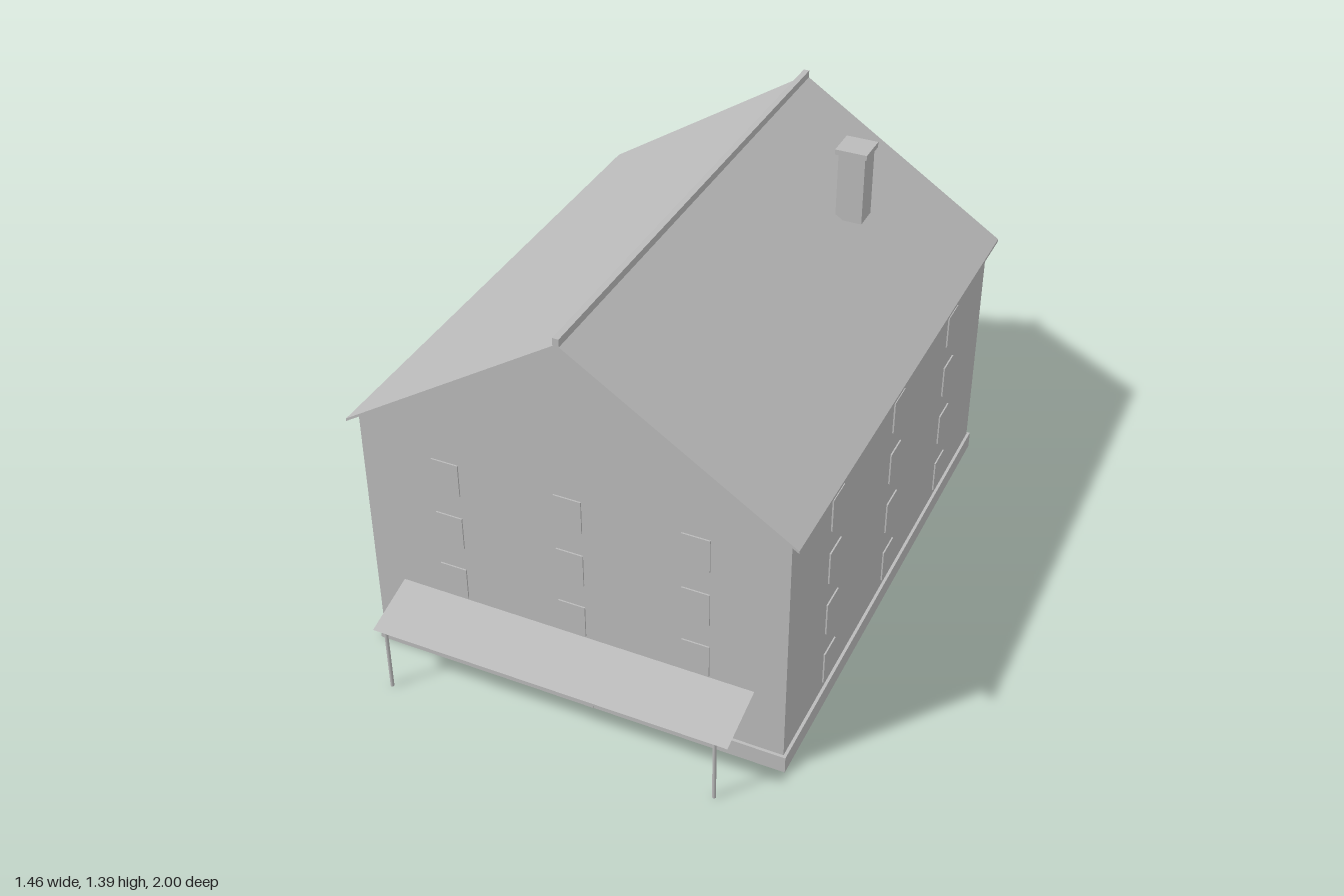
import * as THREE from 'three';

export function createModel() {
  const house = new THREE.Group();
  house.name = 'house';
  const grey = new THREE.MeshStandardMaterial({ color: 0xbababa, side: THREE.DoubleSide });
  grey.name = 'plain grey';

  const add = (name, geometry) => {
    const mesh = new THREE.Mesh(geometry, grey);
    mesh.name = name;
    house.add(mesh);
    return mesh;
  };
  // box given by its limits on each axis
  const box = (name, x0, x1, y0, y1, z0, z1) =>
    add(name, new THREE.BoxGeometry(x1 - x0, y1 - y0, z1 - z0))
      .position.set((x0 + x1) / 2, (y0 + y1) / 2, (z0 + z1) / 2);
  // outline in x and y, extruded from z0 to z1
  const prism = (name, points, z0, z1) => {
    const shape = new THREE.Shape(points.map(([x, y]) => new THREE.Vector2(x, y)));
    const geometry = new THREE.ExtrudeGeometry(shape, { depth: z1 - z0, bevelEnabled: false });
    add(name, geometry.translate(0, 0, z0));
  };

  const front = 0.805, back = -0.97, side = 0.7, midZ = (front + back) / 2;

  // foundation and gabled walls
  box('foundation', -0.71, 0.71, 0, 0.06, -0.98, 0.815);
  prism('walls', [[-side, 0.05], [side, 0.05], [side, 0.885], [0, 1.345], [-side, 0.885]], back, front);

  // roof slopes and ridge
  prism('roof', [[-0.73, 0.875], [0, 1.346], [0.73, 0.875], [0.73, 0.884], [0, 1.356], [-0.73, 0.884]], -1, 0.83);
  box('ridgeCap', -0.01, 0.01, 1.35, 1.375, -1, 0.83);

  // chimney
  box('chimney', 0.315, 0.405, 1.135, 1.372, -0.57, -0.485);
  box('chimneyCap', 0.306, 0.413, 1.372, 1.39, -0.58, -0.475);

  // doors at both ends
  box('frontDoor', -0.065, 0.065, 0, 0.187, 0.79, 0.8155);
  box('backDoor', -0.065, 0.065, 0, 0.187, -0.9805, -0.96);

  // thin window panels, four storeys of three on every wall
  const half = 0.045, out = 0.005;
  for (let row = 0; row < 4; row++) {
    const y0 = 0.085 + row * 0.202, y1 = y0 + 0.116;
    for (const col of [-1, 0, 1]) {
      const x = col * 0.41, z = midZ + col * 0.53;
      if (row > 0 || col !== 0) {
        box('frontWindow', x - half, x + half, y0, y1, front - 0.003, front + out);
        box('backWindow', x - half, x + half, y0, y1, back - out, back + 0.003);
      }
      box('leftWindow', side - 0.003, side + out, y0, y1, z - half, z + half);
      box('rightWindow', -side - out, -side + 0.003, y0, y1, z - half, z + half);
    }
  }

  // sloping awning sheet on two posts
  const drop = 0.055, reach = 1 - front;
  const awning = add('awning', new THREE.PlaneGeometry(1.2, Math.hypot(drop, reach)));
  awning.rotation.x = -Math.PI / 2 + Math.atan2(drop, reach);
  awning.position.set(0, 0.225 + drop / 2, (front + 1) / 2);
  for (const s of [-1, 1]) {
    add('awningPost', new THREE.CylinderGeometry(0.006, 0.006, 0.224, 12)).position.set(s * 0.557, 0.112, 0.993);
  }

  return house;
}
